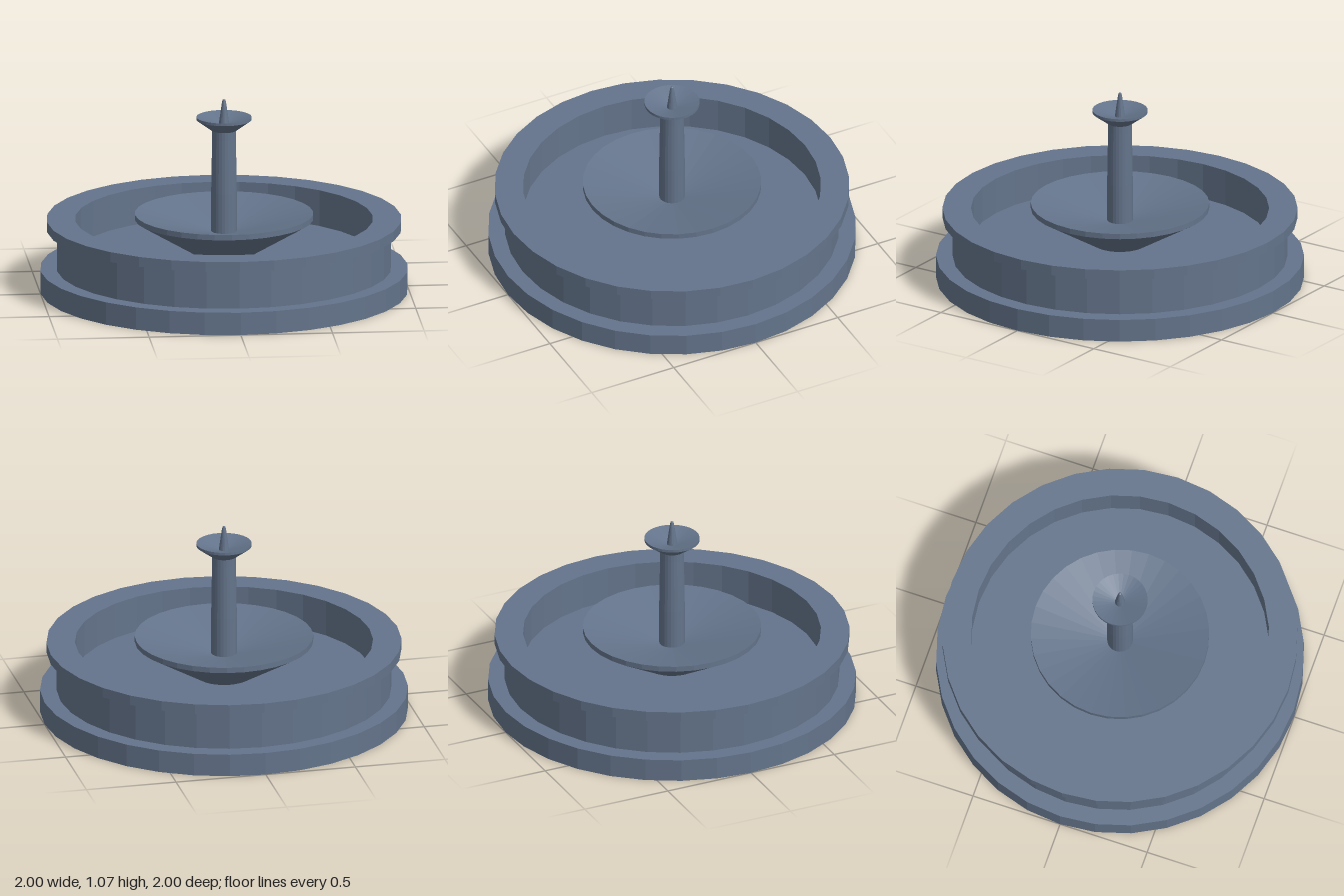
import * as THREE from 'three';

const stone = new THREE.MeshStandardMaterial({ color: 0x64748b });
stone.name = 'slateStone';

// Faceted turned part; the profile runs up the outside and back down the inside
function turned(name, profile, sides) {
  const points = profile.map(([r, y]) => new THREE.Vector2(r, y));
  const geometry = new THREE.LatheGeometry(points, sides).toNonIndexed();
  geometry.computeVertexNormals();
  const mesh = new THREE.Mesh(geometry, stone);
  mesh.name = name;
  return mesh;
}

export function createModel() {
  const fountain = new THREE.Group();
  fountain.name = 'fountain';

  fountain.add(
    // Wide foot slab
    turned('base', [[0, 0], [1, 0], [1, 0.125], [0, 0.125]], 32),
    // Pool wall with overhanging rim and sunken floor
    turned('basin', [
      [0.91, 0.125], [0.91, 0.345], [0.965, 0.345], [0.965, 0.4],
      [0.81, 0.4], [0.81, 0.2], [0, 0.2],
    ], 32),
    // Large conical bowl
    turned('lowerBowl', [
      [0, 0.2], [0.15, 0.2], [0.485, 0.4], [0.485, 0.43], [0, 0.315],
    ], 32),
    // Slightly tapering column
    turned('column', [
      [0.07, 0.32], [0.07, 0.55], [0.065, 0.85], [0.065, 0.9], [0, 0.9],
    ], 24),
    // Small conical dish
    turned('upperBowl', [
      [0, 0.895], [0.068, 0.895], [0.15, 0.955], [0.15, 0.97], [0, 0.925],
    ], 32),
    // Pointed spout with a blunt tip
    turned('spout', [
      [0.03, 0.92], [0.013, 1.04], [0.008, 1.065], [0, 1.07],
    ], 16),
  );

  return fountain;
}
